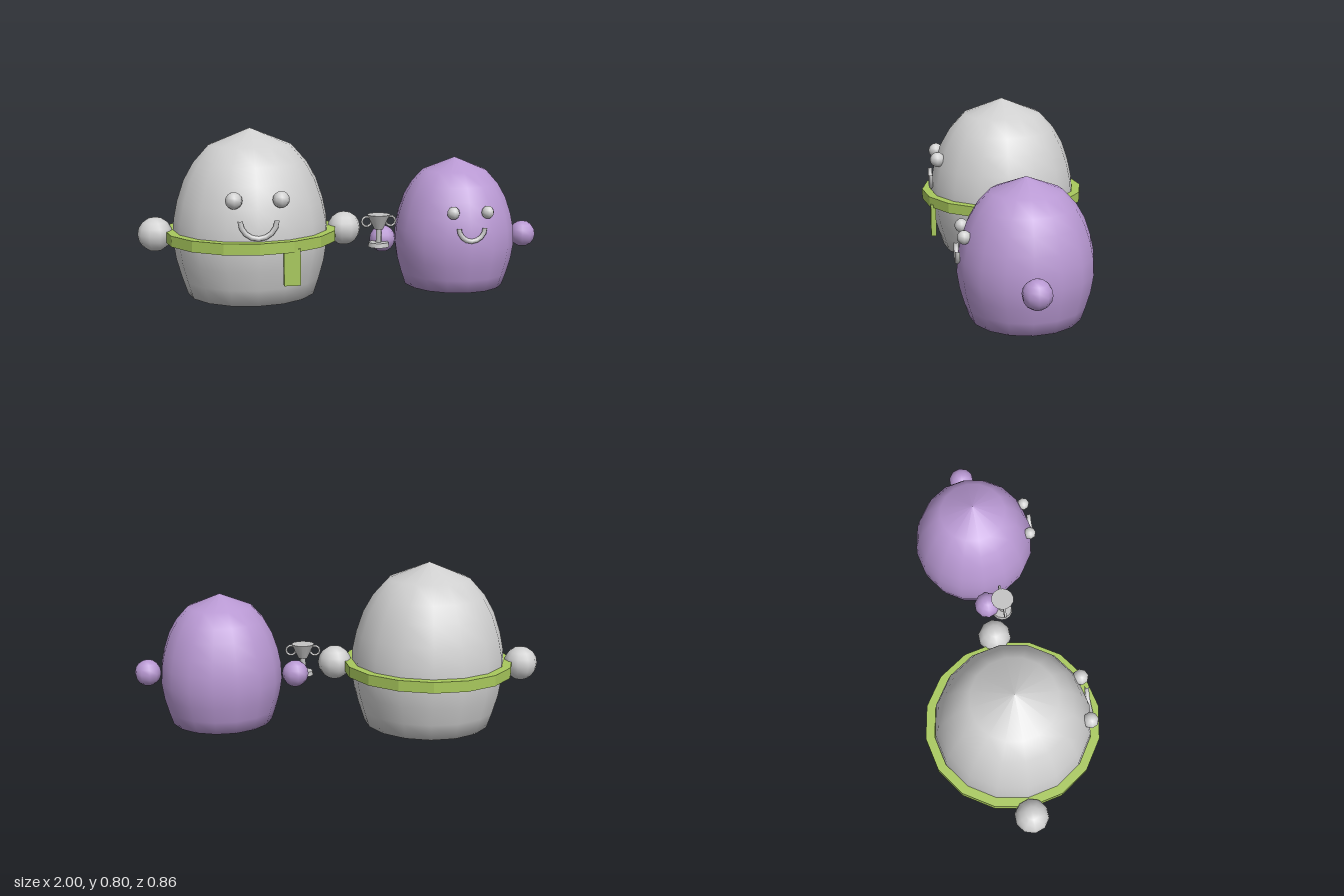
import * as THREE from 'three';

const colour = (name, hex) => {
  const m = new THREE.MeshStandardMaterial({ color: hex });
  m.name = name;
  return m;
};

export function createModel() {
  const pale = colour('pale grey', 0xcfcfcf);
  const purple = colour('soft purple', 0xb898d2);
  const green = colour('leaf green', 0xa8c85c);
  const silver = colour('silver', 0xc4c4c4);
  const model = new THREE.Group();

  const add = (parent, name, geometry, material, x = 0, y = 0, z = 0) => {
    const mesh = new THREE.Mesh(geometry, material);
    mesh.name = name;
    mesh.position.set(x, y, z);
    parent.add(mesh);
    return mesh;
  };
  const lathe = (points, sides) =>
    new THREE.LatheGeometry(points.map(([r, y]) => new THREE.Vector2(r, y)), sides);

  // Egg-shaped body outline, radius and height
  const outline = [[0, 0], [0.316, 0], [0.343, 0.08], [0.369, 0.17], [0.384, 0.265], [0.379, 0.365],
    [0.36, 0.455], [0.326, 0.555], [0.278, 0.638], [0.203, 0.72], [0, 0.8]];

  // One figure: body, two floating hands, eyes and a smile
  function figure(name, x, material, o) {
    const g = new THREE.Group();
    g.name = name;
    g.position.x = x;
    model.add(g);
    add(g, 'body', lathe(outline.map(([r, y]) => [r * o.scale, y * o.scale]), 16), material).scale.x = 0.98;
    for (const [side, s] of [['left', 1], ['right', -1]]) {
      add(g, side + 'Hand', new THREE.SphereGeometry(o.hand, 10, 8), material, s * o.handX, o.handY, 0);
      add(g, side + 'Eye', new THREE.SphereGeometry(o.eye, 8, 8), pale, s * o.eyeX, o.eyeY, o.eyeZ);
    }
    const smile = new THREE.TorusGeometry(o.smile, 0.012, 6, 8, Math.PI);
    add(g, 'smile', smile, pale, 0, o.smileY, o.smileZ).rotation.z = Math.PI;
    return g;
  }

  const big = figure('bigFigure', -0.46, pale, {
    scale: 1, hand: 0.083, handX: 0.459, handY: 0.297,
    eye: 0.039, eyeX: 0.107, eyeY: 0.5, eyeZ: 0.347, smile: 0.083, smileY: 0.412, smileZ: 0.381,
  });
  figure('smallFigure', 0.563, purple, {
    scale: 0.8, hand: 0.066, handX: 0.368, handY: 0.237,
    eye: 0.031, eyeX: 0.085, eyeY: 0.4, eyeZ: 0.278, smile: 0.064, smileY: 0.33, smileZ: 0.305,
  });

  // Faceted scarf ring with a hanging end
  const ring = lathe([[0.384, 0.263], [0.428, 0.263], [0.428, 0.315], [0.384, 0.315], [0.384, 0.263]], 16)
    .toNonIndexed();
  ring.computeVertexNormals();
  add(big, 'scarfRing', ring, green).scale.x = 0.975;
  add(big, 'scarfEnd', new THREE.BoxGeometry(0.076, 0.17, 0.027), green, 0.15, 0.193, 0.376);

  // Trophy held between the figures
  const trophy = new THREE.Group();
  trophy.name = 'trophy';
  trophy.position.set(0.16, 0, 0.072);
  model.add(trophy);
  add(trophy, 'cup', new THREE.CylinderGeometry(0.057, 0.022, 0.073, 14), silver, 0, 0.334, 0);
  add(trophy, 'stem', new THREE.CylinderGeometry(0.014, 0.014, 0.075, 8), silver, 0, 0.266, 0);
  add(trophy, 'base', new THREE.CylinderGeometry(0.048, 0.052, 0.022, 14), silver, 0, 0.222, 0);
  for (const s of [-1, 1]) {
    add(trophy, s > 0 ? 'leftHandle' : 'rightHandle',
      new THREE.TorusGeometry(0.024, 0.006, 6, 10), silver, s * 0.06, 0.337, 0);
  }
  return model;
}
